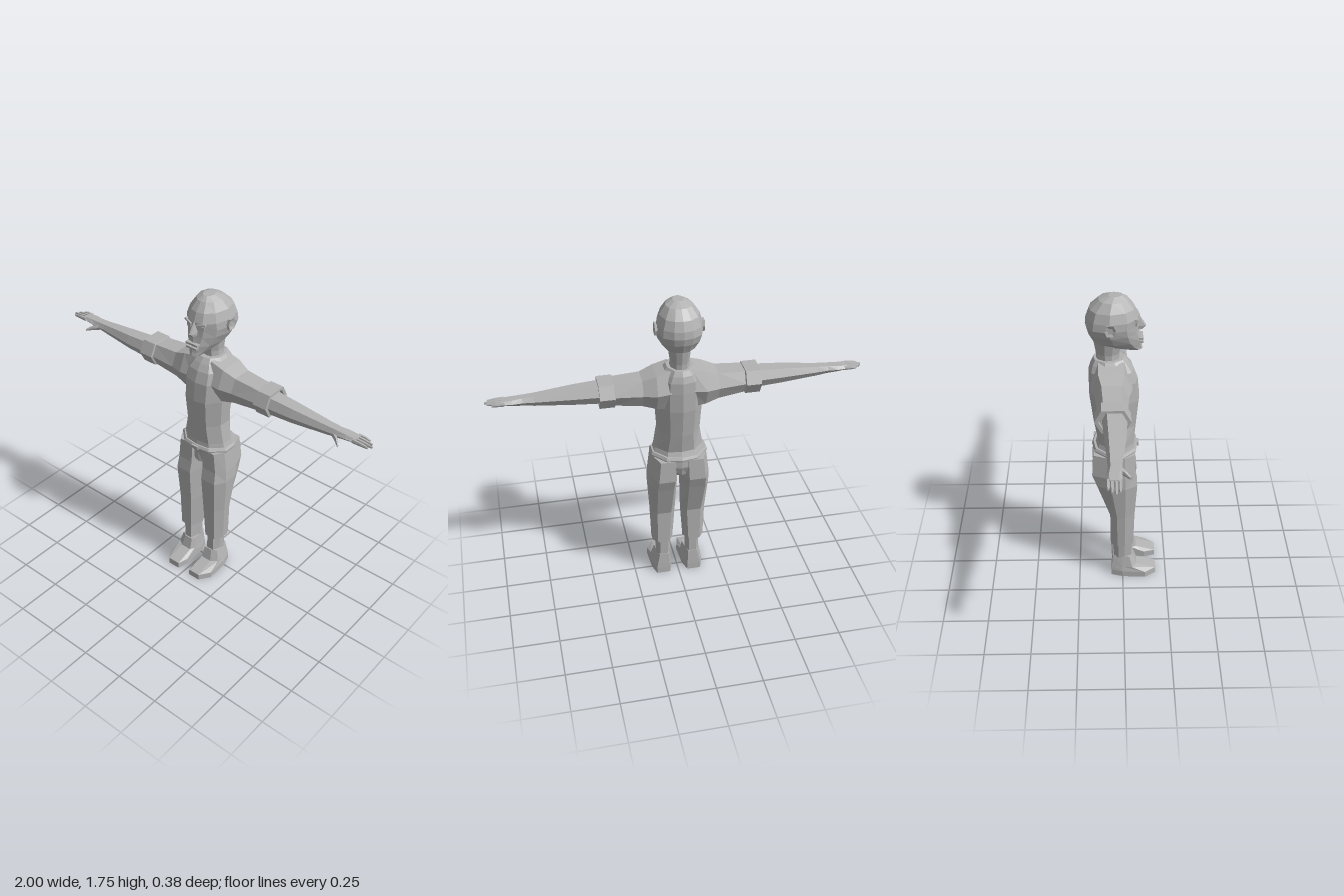
import * as THREE from 'three';

const grey = new THREE.MeshStandardMaterial({ color: 0xb2b2b2, flatShading: true });
grey.name = 'clay grey';

// Skin a list of rings (arrays of [x,y,z]) with capped ends, faces turned outward
function loft(name, rings, side = 1) {
  const R = rings.map(r => r.map(p => new THREE.Vector3(p[0] * side, p[1], p[2])));
  const tris = [], n = R[0].length;
  for (let i = 0; i < R.length - 1; i++) {
    for (let j = 0; j < n; j++) {
      const k = (j + 1) % n, a = R[i][j], b = R[i][k], c = R[i + 1][k], d = R[i + 1][j];
      tris.push([a, b, c], [a, c, d]);
    }
  }
  const cap = (ring, flip) => {
    const mid = ring.reduce((s, p) => s.add(p), new THREE.Vector3()).divideScalar(n);
    ring.forEach((p, j) => {
      const q = ring[(j + 1) % n];
      tris.push(flip ? [mid, q, p] : [mid, p, q]);
    });
  };
  cap(R[0], true);
  cap(R[R.length - 1], false);
  let volume = 0;
  const cross = new THREE.Vector3();
  for (const [a, b, c] of tris) volume += a.dot(cross.crossVectors(b, c));
  const pos = [];
  for (const [a, b, c] of tris) for (const p of volume < 0 ? [a, c, b] : [a, b, c]) pos.push(p.x, p.y, p.z);
  const geo = new THREE.BufferGeometry();
  geo.setAttribute('position', new THREE.Float32BufferAttribute(pos, 3));
  geo.computeVertexNormals();
  const mesh = new THREE.Mesh(geo, grey);
  mesh.name = name;
  return mesh;
}

// Symmetric horizontal ring from half a cross-section of [width share, depth share]
function bodyRing(half, [y, w, zf, zb]) {
  const pts = half.map(([u, t]) => [u * w, y, zb + (zf - zb) * t]);
  const back = pts.slice(1, -1).reverse().map(([x, yy, z]) => [-x, yy, z]);
  return [...pts, ...back];
}
const TORSO = [[0, 1], [0.55, 0.95], [1, 0.68], [1, 0.38], [0.55, 0.06], [0, 0]];
const HEAD = [[0, 1], [0.4, 0.96], [0.8, 0.78], [1, 0.45], [0.8, 0.15], [0.4, 0.03], [0, 0]];

// Six-sided ring across the arm
function armRing([x, y0, y1, z0, z1]) {
  const y = (y0 + y1) / 2, z = (z0 + z1) / 2, h = (z1 - z0) * 0.31;
  return [[x, y, z1], [x, y1, z + h], [x, y1, z - h], [x, y, z0], [x, y0, z - h], [x, y0, z + h]];
}

// Ring across the leg, pointed toward the inside
function legRing([y, xi, xo, zf, zb]) {
  const m = (xo - xi) * 0.22;
  return [[xi + m, y, zf], [xo - m, y, zf], [xo, y, zf * 0.2], [xo, y, zb * 0.45],
    [xo - m, y, zb], [xi + m, y, zb], [xi, y, zb * 0.3]];
}

// Shoe outline, narrowed at toe and heel
function shoeRing([y, xi, xo, zf, zb]) {
  const w = xo - xi;
  return [[xi + w * 0.12, y, zf], [xo - w * 0.33, y, zf], [xo, y, zf * 0.68], [xo - w * 0.05, y, 0],
    [xo - w * 0.2, y, zb], [xi + w * 0.2, y, zb], [xi + w * 0.05, y, 0], [xi, y, zf * 0.68]];
}

function box(name, size, at, rot = [0, 0, 0]) {
  const m = new THREE.Mesh(new THREE.BoxGeometry(...size), grey);
  m.name = name;
  m.position.set(...at);
  m.rotation.set(...rot);
  return m;
}

function buildHead() {
  const g = new THREE.Group();
  g.name = 'head';
  g.add(loft('skull', [
    [1.745, 0.03, 0, -0.07], [1.725, 0.07, 0.03, -0.12], [1.68, 0.102, 0.065, -0.168],
    [1.63, 0.119, 0.085, -0.186], [1.59, 0.123, 0.08, -0.19], [1.55, 0.112, 0.085, -0.18],
    [1.5, 0.085, 0.097, -0.155], [1.465, 0.055, 0.1, -0.07], [1.445, 0.032, 0.105, 0.02],
  ].map(r => bodyRing(HEAD, r))));
  g.add(loft('neck', [[1.37, 0.052, -0.015, -0.135], [1.42, 0.048, -0.015, -0.137], [1.52, 0.06, 0.01, -0.155]]
    .map(r => bodyRing(TORSO, r))));
  g.add(loft('nose', [[1.63, 0.01, 0.088, 0.06], [1.575, 0.02, 0.122, 0.06], [1.555, 0.02, 0.105, 0.06]]
    .map(r => bodyRing([[0, 1], [0.5, 0.9], [1, 0.2], [0, 0]], r))));
  g.add(box('upperLip', [0.075, 0.011, 0.03], [0, 1.513, 0.091]));
  g.add(box('lowerLip', [0.065, 0.01, 0.03], [0, 1.493, 0.093]));
  for (const s of [1, -1]) {
    g.add(box('eye', [0.034, 0.02, 0.01], [s * 0.038, 1.603, 0.073], [0, s * 0.3, 0]));
    g.add(box('brow', [0.05, 0.011, 0.02], [s * 0.04, 1.623, 0.074], [0, s * 0.3, s * 0.2]));
    g.add(loft('ear', [[0.1, 1.575, 1.63, -0.085, -0.035], [0.128, 1.572, 1.633, -0.09, -0.033],
      [0.122, 1.587, 1.618, -0.075, -0.047]].map(armRing), s));
  }
  return g;
}

function buildArm(s) {
  const g = new THREE.Group();
  g.name = s > 0 ? 'leftArm' : 'rightArm';
  g.add(loft('sleeve', [
    [0.05, 1.16, 1.385, -0.165, 0.05], [0.13, 1.172, 1.362, -0.168, 0.05],
    [0.2, 1.187, 1.335, -0.142, 0.03], [0.35, 1.205, 1.325, -0.13, 0.025],
  ].map(armRing), s));
  g.add(loft('cuff', [
    [0.34, 1.21, 1.32, -0.125, 0.02], [0.345, 1.2, 1.33, -0.145, 0.038], [0.425, 1.2, 1.33, -0.145, 0.038],
    [0.425, 1.213, 1.317, -0.125, 0.02], [0.405, 1.213, 1.317, -0.125, 0.02],
  ].map(armRing), s));
  g.add(loft('forearm', [
    [0.39, 1.213, 1.313, -0.108, 0.02], [0.55, 1.22, 1.303, -0.097, 0.012], [0.75, 1.235, 1.287, -0.082, -0.01],
    [0.81, 1.243, 1.284, -0.08, -0.013], [0.86, 1.25, 1.282, -0.088, -0.012], [0.915, 1.256, 1.279, -0.086, -0.015],
  ].map(armRing), s));
  // Four tapered fingers, then the thumb
  [[-0.078, 0.965], [-0.06, 0.988], [-0.041, 1], [-0.023, 0.985]].forEach(([z, tip]) => {
    g.add(loft('finger', [
      [0.9, 1.258, 1.278, z - 0.009, z + 0.009], [0.945, 1.259, 1.276, z - 0.008, z + 0.008],
      [tip, 1.26, 1.27, z - 0.005, z + 0.005],
    ].map(armRing), s));
  });
  g.add(loft('thumb', [
    [0.785, 1.243, 1.27, -0.045, -0.015], [0.825, 1.238, 1.262, -0.012, 0.012], [0.85, 1.234, 1.246, 0.02, 0.032],
  ].map(armRing), s));
  return g;
}

function buildLeg(s) {
  const g = new THREE.Group();
  g.name = s > 0 ? 'leftLeg' : 'rightLeg';
  g.add(loft('trouserLeg', [
    [0.845, 0.002, 0.149, 0.065, -0.158], [0.72, 0.004, 0.164, 0.066, -0.166], [0.65, 0.006, 0.168, 0.08, -0.14],
    [0.44, 0.015, 0.155, 0.066, -0.07], [0.23, 0.03, 0.147, 0.06, -0.068],
  ].map(legRing), s));
  g.add(loft('ankle', [[0.25, 0.045, 0.125, 0.05, -0.053], [0.12, 0.045, 0.122, 0.052, -0.053]].map(legRing), s));
  g.add(loft('shoe', [
    [0, 0.025, 0.155, 0.192, -0.065], [0.035, 0.026, 0.154, 0.19, -0.064],
    [0.065, 0.032, 0.145, 0.08, -0.062], [0.13, 0.04, 0.127, 0.058, -0.056],
  ].map(shoeRing), s));
  return g;
}

export function createModel() {
  const model = new THREE.Group();
  model.name = 'standingFigure';
  model.add(loft('shirt', [
    [0.855, 0.14, 0.07, -0.15], [0.89, 0.13, 0.065, -0.136], [1, 0.112, 0.075, -0.155], [1.16, 0.122, 0.09, -0.175],
    [1.27, 0.125, 0.08, -0.177], [1.33, 0.115, 0.058, -0.175], [1.365, 0.09, 0.034, -0.165], [1.392, 0.068, 0.01, -0.15],
  ].map(r => bodyRing(TORSO, r))));
  model.add(loft('belt', [[0.84, 0.152, 0.082, -0.164], [0.852, 0.154, 0.084, -0.166], [0.866, 0.145, 0.076, -0.158]]
    .map(r => bodyRing(TORSO, r))));
  model.add(box('buckle', [0.045, 0.02, 0.01], [0, 0.853, 0.083]));
  model.add(loft('hips', [[0.845, 0.146, 0.066, -0.16], [0.8, 0.13, 0.055, -0.16], [0.74, 0.05, 0.055, -0.14]]
    .map(r => bodyRing(TORSO, r))));
  model.add(buildHead());
  for (const s of [1, -1]) model.add(buildArm(s), buildLeg(s));
  return model;
}
